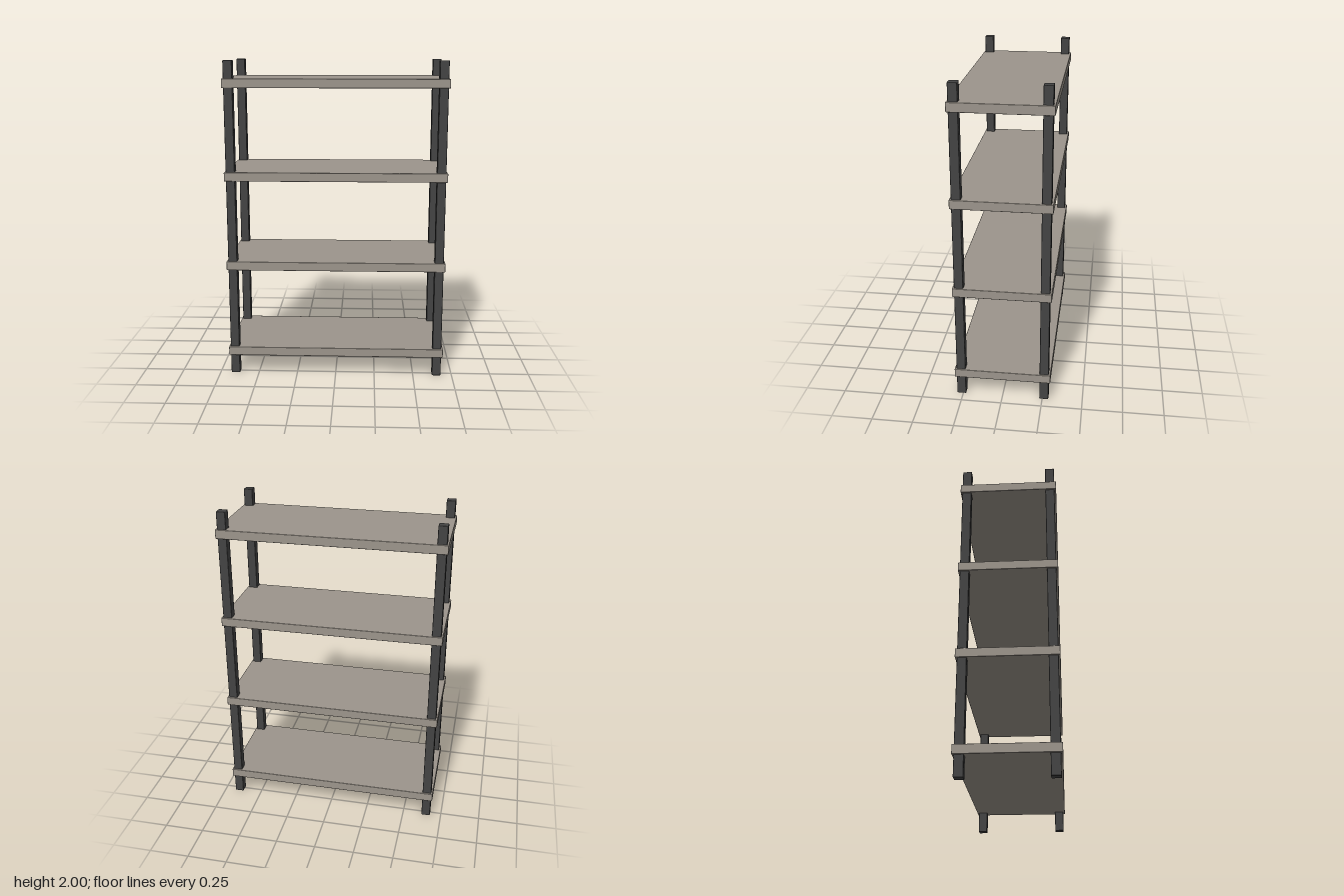
import * as THREE from 'three';
import { RoundedBoxGeometry } from 'three/addons/geometries/RoundedBoxGeometry.js';

export function createModel() {
  const model = new THREE.Group();
  model.name = 'shelvingUnit';

  const shelfPaint = new THREE.MeshStandardMaterial({ color: 0x9c958c });
  shelfPaint.name = 'warm grey';
  const postPaint = new THREE.MeshStandardMaterial({ color: 0x444444 });
  postPaint.name = 'charcoal';

  const add = (name, geometry, material, x, y, z) => {
    const mesh = new THREE.Mesh(geometry, material);
    mesh.name = name;
    mesh.position.set(x, y, z);
    model.add(mesh);
  };

  // Four full-height corner posts
  const post = new RoundedBoxGeometry(0.056, 2, 0.056, 2, 0.004);
  for (const x of [-1, 1]) {
    for (const z of [-1, 1]) {
      const name = (z > 0 ? 'front' : 'back') + (x > 0 ? 'Left' : 'Right') + 'Post';
      add(name, post, postPaint, x * 0.651, 1, z * 0.26);
    }
  }

  // Four evenly spaced boards, wrapping just past the posts
  const board = new RoundedBoxGeometry(1.378, 0.056, 0.598, 2, 0.004);
  for (let i = 0; i < 4; i++) {
    add('shelf' + (i + 1), board, shelfPaint, 0, 0.154 + i * 0.57, 0);
  }

  return model;
}
